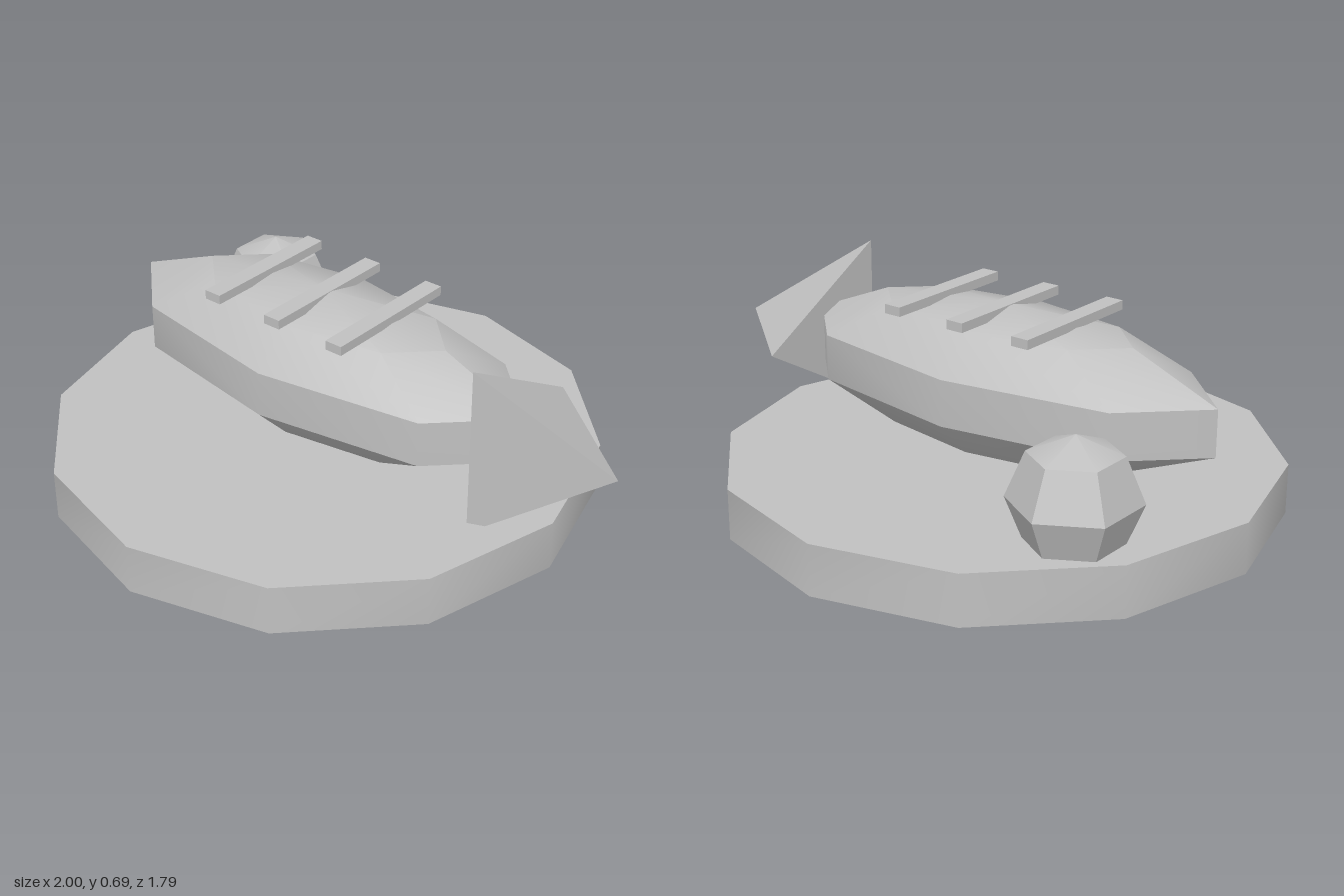
import * as THREE from 'three';
import { toCreasedNormals } from 'three/addons/utils/BufferGeometryUtils.js';

export function createModel() {
  const model = new THREE.Group();
  model.name = 'fishOnPlate';
  const grey = new THREE.MeshStandardMaterial({ color: 0xc0c0c0 });
  grey.name = 'lightGrey';

  const CX = -0.105; // centre of plate and fish
  const CREASE = THREE.MathUtils.degToRad(35);

  const add = (name, geometry, x, y, z) => {
    const mesh = new THREE.Mesh(toCreasedNormals(geometry, CREASE), grey);
    mesh.name = name;
    mesh.position.set(x, y, z);
    model.add(mesh);
  };

  // Twelve-sided plate
  add('plate', new THREE.CylinderGeometry(0.895, 0.895, 0.165, 12), CX, 0.0825, 0);

  // Fish body: coarse sphere stretched along x
  add('fishBody', new THREE.SphereGeometry(1, 8, 5).scale(0.815, 0.243, 0.325), CX, 0.41, 0);

  // Three-sided tail pointing along +x
  const tail = new THREE.ConeGeometry(0.325, 0.405, 3, 1, false, Math.PI).rotateZ(-Math.PI / 2);
  add('fishTail', tail, 0.793, 0.41, 0);

  // Garnish strips across the back
  for (const dx of [-0.245, 0, 0.245]) {
    add('garnishStrip', new THREE.BoxGeometry(0.06, 0.03, 0.487), CX + dx, 0.637, 0);
  }

  // Faceted lemon resting in the plate
  add('lemon', new THREE.SphereGeometry(0.2, 6, 4).rotateY(Math.PI / 2), -0.675, 0.288, -0.41);

  return model;
}
